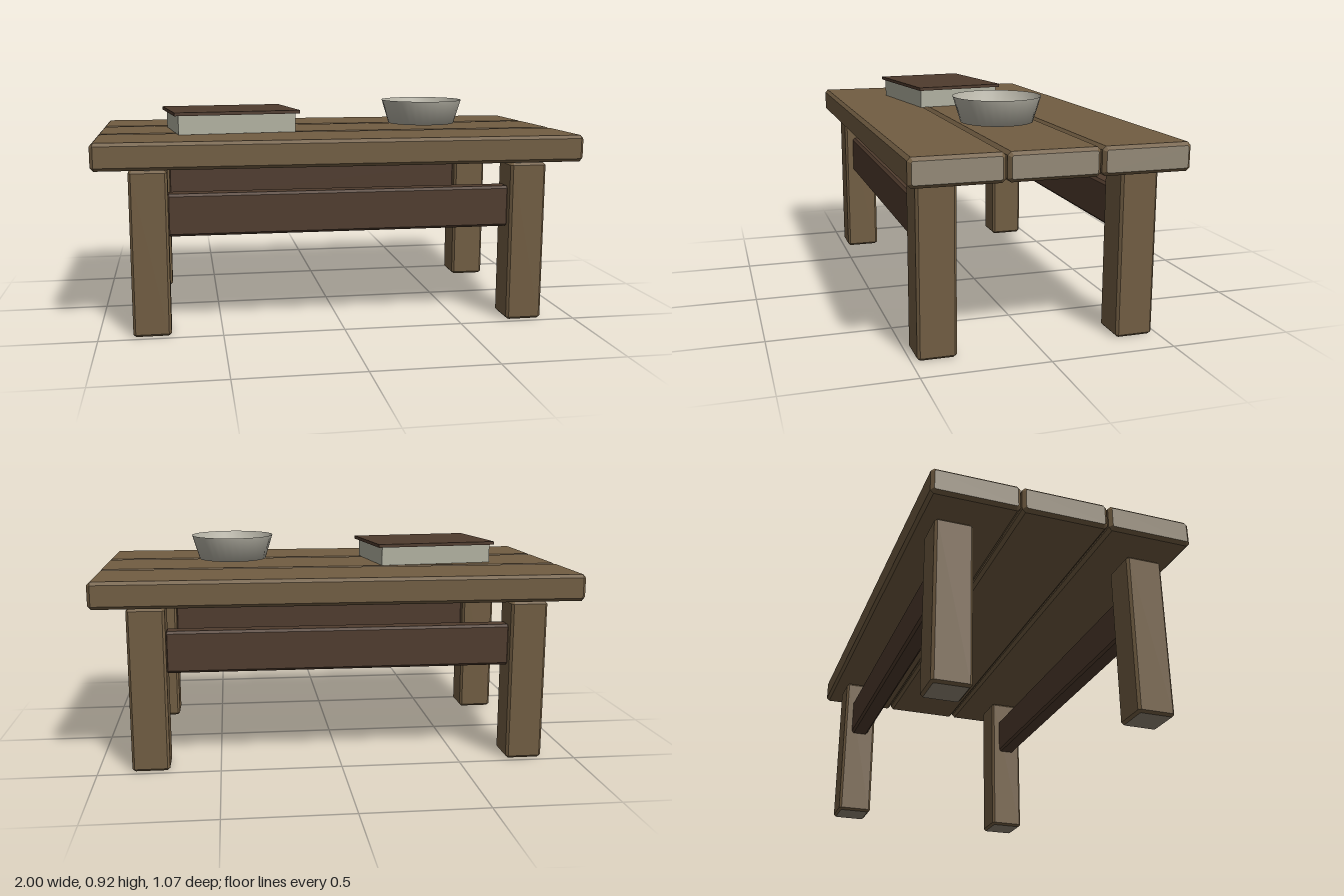
import * as THREE from 'three';

const mat = (name, color, side = THREE.FrontSide) => {
  const m = new THREE.MeshStandardMaterial({ color, side });
  m.name = name;
  return m;
};

// Chamfered bar running along z, centred; group 0 = end caps, group 1 = sides
function beamGeometry(w, h, length, c) {
  const x = w / 2 - c, y = h / 2 - c, k = c * 0.414;
  const shape = new THREE.Shape([
    [x - k, -y], [x, -y + k], [x, y - k], [x - k, y],
    [-x + k, y], [-x, y - k], [-x, -y + k], [-x + k, -y],
  ].map(([a, b]) => new THREE.Vector2(a, b)));
  return new THREE.ExtrudeGeometry(shape, {
    depth: length - 2 * c, bevelEnabled: true, bevelThickness: c, bevelSize: c, bevelSegments: 1,
  }).translate(0, 0, c - length / 2);
}

export function createModel() {
  const wood = mat('wood', 0x715d42);
  const darkWood = mat('dark wood', 0x4f3b2d);
  const endGrain = mat('end grain', 0x938977);
  const paper = mat('paper', 0xb0b0a0);
  const ceramic = mat('ceramic', 0xbab7aa, THREE.DoubleSide);

  const model = new THREE.Group();
  model.name = 'table';
  const add = (name, geometry, material, x, y, z, parent = model) => {
    const mesh = new THREE.Mesh(geometry, material);
    mesh.name = name;
    mesh.position.set(x, y, z);
    parent.add(mesh);
    return mesh;
  };

  // Table top: three planks with pale ends
  const plank = beamGeometry(0.352, 0.11, 2, 0.013).rotateY(Math.PI / 2);
  for (const i of [-1, 0, 1]) add('plank', plank, [endGrain, wood], 0, 0.74, i * 0.358);

  // Four legs and the two long rails between them
  const leg = beamGeometry(0.153, 0.153, 0.677, 0.01).rotateX(-Math.PI / 2);
  const rail = beamGeometry(0.08, 0.173, 1.43, 0.01).rotateY(Math.PI / 2);
  for (const sz of [-1, 1]) {
    for (const sx of [-1, 1]) add('leg', leg, [endGrain, wood], sx * 0.785, 0.3385, sz * 0.4);
    add('rail', rail, darkWood, 0, 0.489, sz * 0.4);
  }

  // Book lying slightly turned
  const book = new THREE.Group();
  book.name = 'book';
  book.position.set(-0.437, 0, 0.05);
  book.rotation.y = 0.131;
  model.add(book);
  add('pages', new THREE.BoxGeometry(0.5, 0.08, 0.38), paper, 0, 0.836, 0, book);
  add('bookCover', new THREE.BoxGeometry(0.535, 0.014, 0.403), darkWood, 0, 0.882, 0, book);

  // Open bowl with a shallow pointed base
  const profile = [[0, 0.801], [0.147, 0.813], [0.179, 0.918]].map(([r, y]) => new THREE.Vector2(r, y));
  add('bowl', new THREE.LatheGeometry(profile, 32), ceramic, 0.432, 0, 0.035);

  return model;
}
